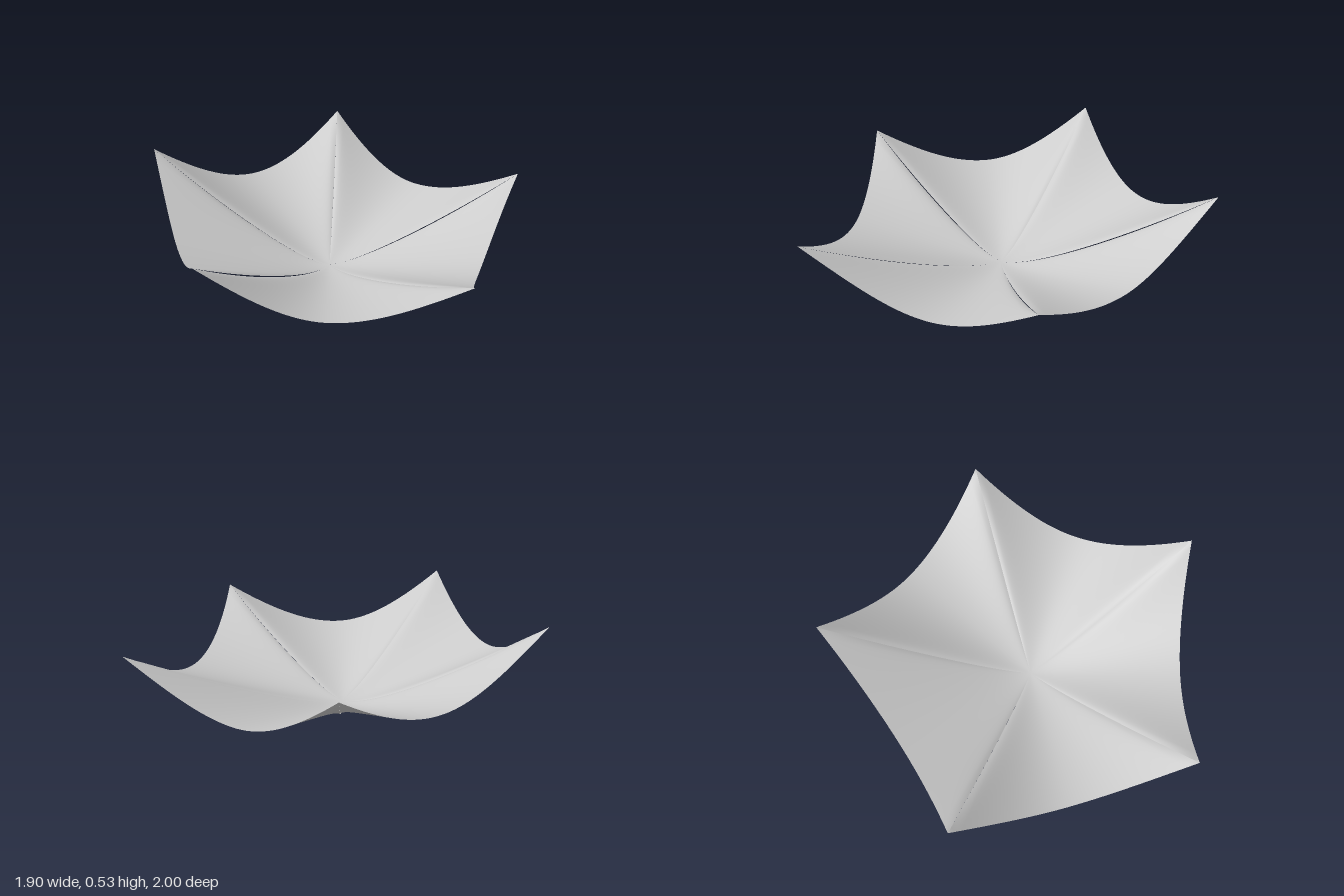
import * as THREE from 'three';
import { mergeVertices } from 'three/addons/utils/BufferGeometryUtils.js';

const V = (x, y, z) => new THREE.Vector3(x, y, z);
const RINGS = 32, STEPS = 40;

// Raised corners, and the sagging middle of the edge that follows each one
const corners = [V(0.95, 0.4, 0.62), V(-0.23, 0.37, 1), V(-0.95, 0.45, 0), V(-0.23, 0.53, -1), V(0.95, 0.5, -0.62)];
const middles = [V(0.34, 0.13, 0.745), V(-0.56, 0.15, 0.47), V(-0.58, 0.23, -0.495), V(0.35, 0.25, -0.775), V(0.9, 0.19, 0)];
const centre = V(0.07, 0, -0.02);

// Rises from 0 to 1: round at the bottom (more so for a larger a), then straight
const rise = (t, a) => (Math.hypot(t, a) - a) / (Math.hypot(1, a) - a);

// Point of the cloth at t from the centre (0) to the rim (1), s along edge i
function clothPoint(i, t, s) {
  const a = corners[i], m = middles[i], b = corners[(i + 1) % 5];

  // Plan: the rim is a parabola through a, m and b, scaled towards the centre
  const p = V(0, 0, 0)
    .addScaledVector(a, (1 - s) * (1 - 2 * s))
    .addScaledVector(m, 4 * s * (1 - s))
    .addScaledVector(b, s * (2 * s - 1));
  p.lerpVectors(centre, p, t);

  // Height: the valley at each corner is sharp at the tip, softer further in
  const tip = s < 0.5 ? a : b;
  const w = 2 * Math.min(s, 1 - s);
  const soft = 0.26 * (1 - t);
  const fromMiddle = 1 - Math.sqrt(w * w + soft * soft * (1 - w * w));
  p.y = rise(t, 0.17) * (m.y + (tip.y - m.y) * rise(fromMiddle, 0.8));
  return p;
}

export function createModel() {
  const positions = [], index = [];
  const row = STEPS + 1;
  for (let i = 0; i < 5; i++) {
    const base = i * (RINGS + 1) * row;
    for (let r = 0; r <= RINGS; r++) {
      for (let c = 0; c <= STEPS; c++) {
        positions.push(...clothPoint(i, r / RINGS, c / STEPS).toArray());
        if (r === RINGS || c === STEPS) continue;
        const k = base + r * row + c;
        index.push(k + 1, k + row + 1, k + row);
        if (r > 0) index.push(k, k + 1, k + row);
      }
    }
  }
  let geometry = new THREE.BufferGeometry();
  geometry.setAttribute('position', new THREE.Float32BufferAttribute(positions, 3));
  geometry.setIndex(index);
  // Weld the five sectors so the cloth shades smoothly
  geometry = mergeVertices(geometry, 1e-4);
  geometry.computeVertexNormals();

  const cloth = new THREE.Mesh(
    geometry,
    new THREE.MeshStandardMaterial({ color: 0xcccccc, side: THREE.DoubleSide })
  );
  cloth.name = 'saggingCloth';
  const model = new THREE.Group();
  model.name = 'fiveCorneredCloth';
  model.add(cloth);
  return model;
}
